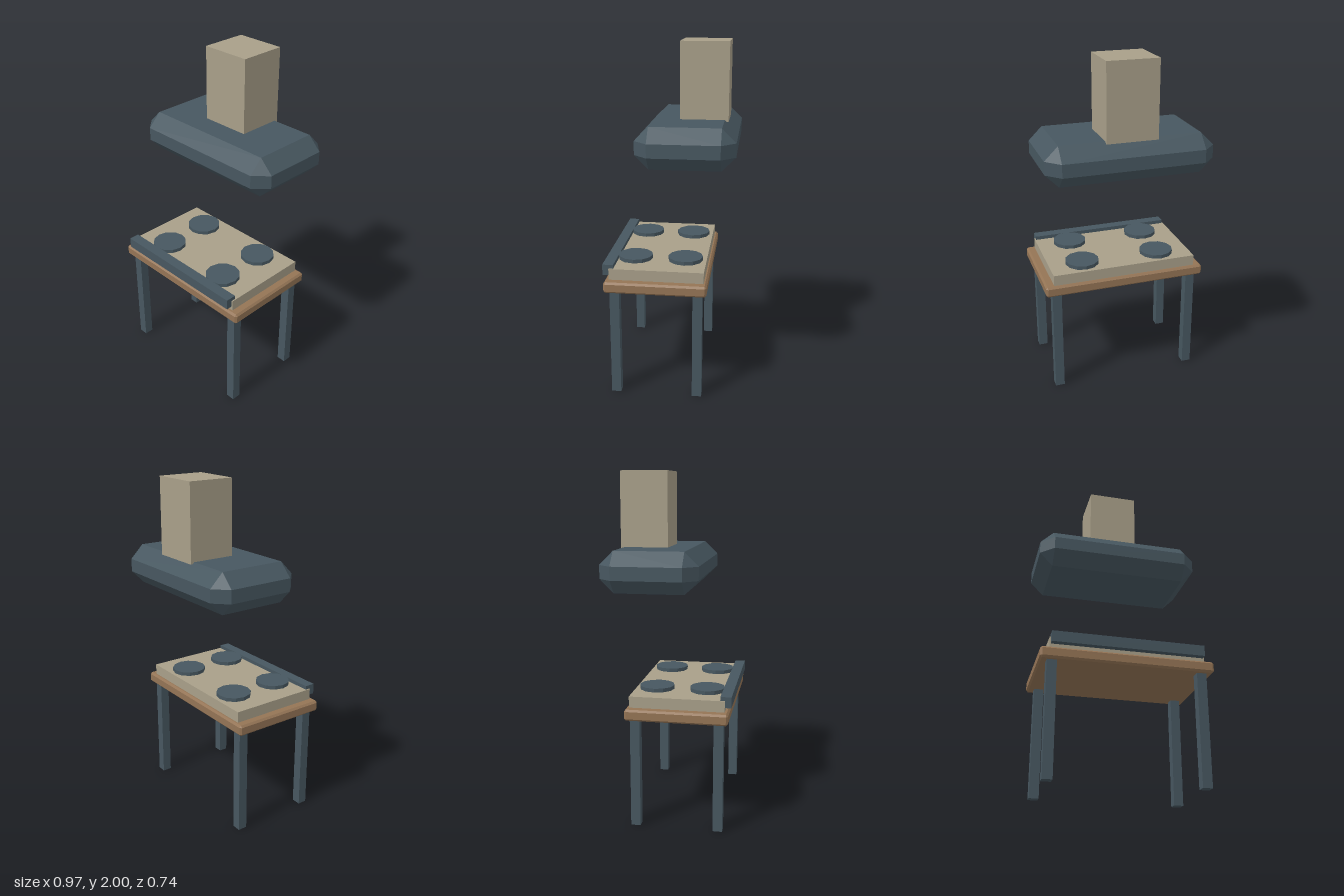
import * as THREE from 'three';
import { ConvexGeometry } from 'three/addons/geometries/ConvexGeometry.js';

const paint = (color) => new THREE.MeshStandardMaterial({ color, flatShading: true });

// Box with every edge cut by a single flat bevel
function chamferBox(w, h, d, b) {
  const points = [];
  for (const sx of [-1, 1]) for (const sy of [-1, 1]) for (const sz of [-1, 1]) {
    const x = w / 2, y = h / 2, z = d / 2;
    points.push(
      new THREE.Vector3(sx * x, sy * (y - b), sz * (z - b)),
      new THREE.Vector3(sx * (x - b), sy * y, sz * (z - b)),
      new THREE.Vector3(sx * (x - b), sy * (y - b), sz * z));
  }
  return new ConvexGeometry(points);
}

export function createModel() {
  const model = new THREE.Group();
  model.name = 'stoveWithHood';
  const slate = paint(0x475760), beige = paint(0xa89f89), wood = paint(0x947455);

  const add = (name, geometry, material, x, y, z) => {
    const mesh = new THREE.Mesh(geometry, material);
    mesh.name = name;
    mesh.position.set(x, y, z);
    model.add(mesh);
  };

  // Table: four square legs and a lightly bevelled wooden top
  const leg = new THREE.BoxGeometry(0.055, 0.645, 0.055);
  for (const [side, x] of [['Left', 0.42], ['Right', -0.42]]) {
    add('frontLeg' + side, leg, slate, x, 0.3225, 0.3);
    add('backLeg' + side, leg, slate, x, 0.3225, -0.172);
  }
  add('tableTop', chamferBox(0.974, 0.064, 0.58, 0.011), wood, 0, 0.67, 0.065);

  // Cooktop with four round burners and a front rail
  add('cooktop', new THREE.BoxGeometry(0.874, 0.067, 0.538), beige, 0, 0.7325, 0.063);
  const burner = new THREE.CylinderGeometry(0.101, 0.101, 0.026, 12);
  for (const [side, x] of [['Left', 0.235], ['Right', -0.235]]) {
    add('frontBurner' + side, burner, slate, x, 0.775, 0.21);
    add('backBurner' + side, burner, slate, x, 0.775, -0.084);
  }
  add('frontRail', new THREE.BoxGeometry(0.86, 0.062, 0.062), slate, 0, 0.757, 0.337);

  // Extractor hood hanging above, with its square duct
  add('hood', chamferBox(0.97, 0.232, 0.548, 0.078), slate, 0, 1.455, -0.094);
  add('duct', new THREE.BoxGeometry(0.296, 0.44, 0.274), beige, 0, 1.78, -0.174);

  return model;
}
